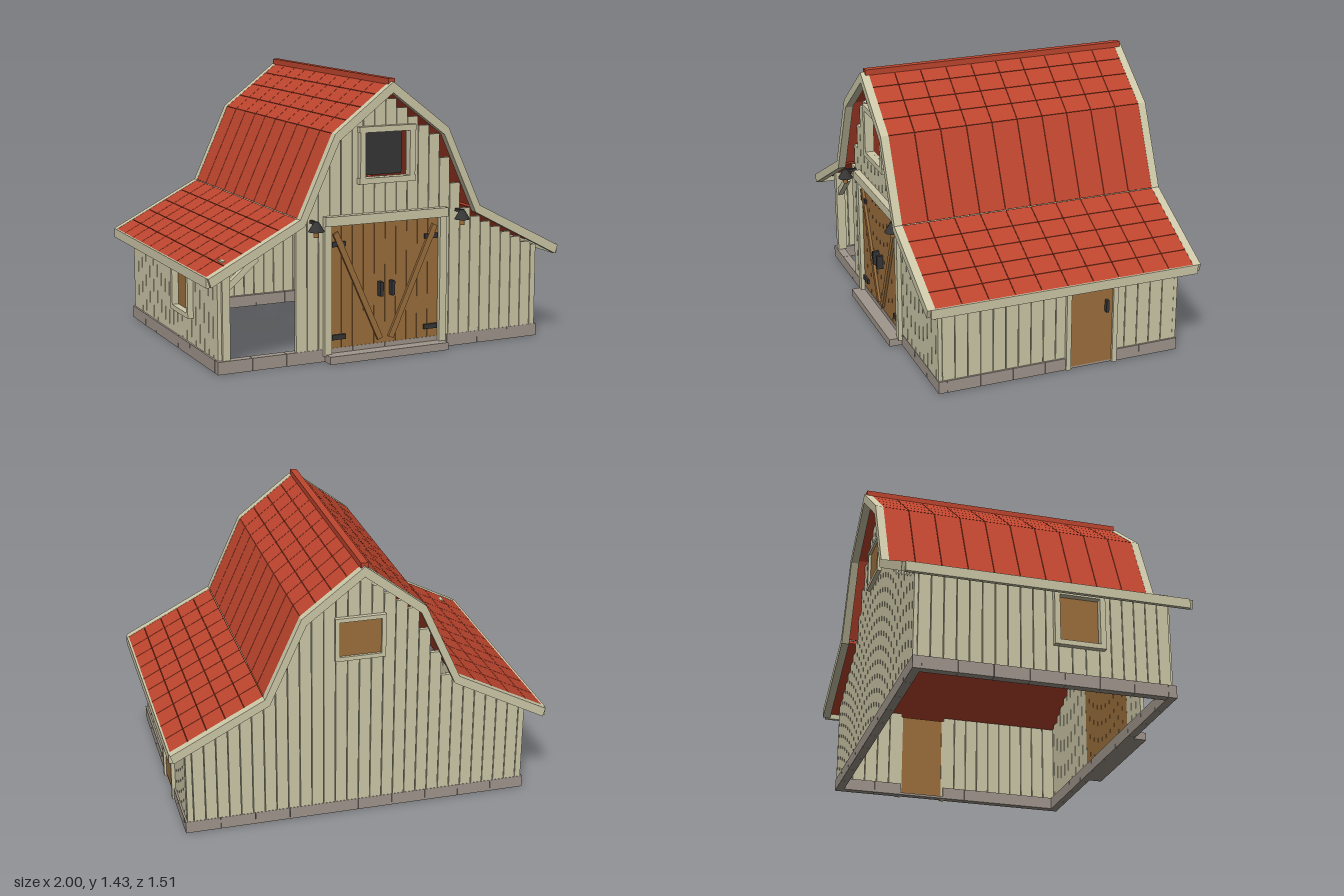
import * as THREE from 'three';

const mat = (name, color) => Object.assign(new THREE.MeshStandardMaterial({ color }), { name });

export function createModel() {
  const root = new THREE.Group();
  root.name = 'barn';
  const cream = mat('cream wood', 0xcdc8a8);
  const red = mat('red roofing', 0xbe452e);
  const brown = mat('brown wood', 0x9c6f3d);
  const stone = mat('grey stone', 0xa0968c);
  const metal = mat('dark metal', 0x363637);

  const group = (name) => {
    const g = new THREE.Group();
    g.name = name;
    root.add(g);
    return g;
  };
  const add = (parent, name, geo, m, x = 0, y = 0, z = 0) => {
    const mesh = new THREE.Mesh(geo, m);
    mesh.name = name;
    mesh.position.set(x, y, z);
    parent.add(mesh);
    return mesh;
  };
  // Box given by its minimum and maximum on each axis
  const block = (parent, name, m, x0, x1, y0, y1, z0, z1) =>
    add(parent, name, new THREE.BoxGeometry(x1 - x0, y1 - y0, z1 - z0), m,
      (x0 + x1) / 2, (y0 + y1) / 2, (z0 + z1) / 2);
  // Slanted bar between two points in the xy plane
  const bar = (parent, name, m, ax, ay, bx, by, width, z, depth) => {
    const len = Math.hypot(bx - ax, by - ay);
    const b = add(parent, name, new THREE.BoxGeometry(len, width, depth), m, (ax + bx) / 2, (ay + by) / 2, z);
    b.rotation.z = Math.atan2(by - ay, bx - ax);
    return b;
  };

  // Half of the gambrel roof line, from ridge to eave
  const outer = [[0, 1.415], [0.32, 1.17], [0.51, 0.755], [0.995, 0.505]];
  const inner = [[0, 1.36], [0.295, 1.135], [0.485, 0.72], [0.98, 0.46]];
  const roofY = (x) => {
    for (let i = 0; i < 3; i++) {
      const [a, b] = [outer[i], outer[i + 1]];
      if (x <= b[0]) return a[1] + (b[1] - a[1]) * (x - a[0]) / (b[0] - a[0]);
    }
    return outer[3][1];
  };

  // Gable walls: vertical planks with stepped tops
  const pitch = 0.0625, gap = 0.002, sill = 0.065;
  const gable = (name, z, first, spans) => {
    const g = group(name);
    for (let k = first; k < 15; k++) {
      const x0 = Math.max(k * pitch, -0.91), x1 = Math.min((k + 1) * pitch, 0.91);
      const top = roofY(Math.max(Math.abs(x0), Math.abs(x1))) - 0.045;
      for (const [y0, y1] of spans(Math.abs(x0 + x1) / 2, top))
        block(g, 'plank', cream, x0 + gap, x1 - gap, y0, y1, z - 0.01, z + 0.01);
    }
  };
  gable('frontWall', 0.64, -8, (x, top) =>
    x < 0.125 ? [[0.7, 0.93], [1.16, top]] : x < 0.3125 ? [[0.7, top]] : [[sill, top]]);
  gable('backWall', -0.66, -15, (x, top) => [[sill, top]]);

  // Side walls with an opening each
  const sideWall = (name, side, h0, h1, yLow) => {
    const g = group(name);
    const fill = (z0, z1, y0, y1) => {
      const n = Math.round((z1 - z0) / 0.066), w = (z1 - z0) / n;
      for (let i = 0; i < n; i++)
        block(g, 'plank', cream, side * 0.9 - 0.01, side * 0.9 + 0.01, y0, y1,
          z0 + i * w + gap, z0 + (i + 1) * w - gap);
    };
    fill(-0.65, h0, sill, 0.5);
    fill(h1, 0.63, sill, 0.5);
    if (yLow > sill) fill(h0, h1, sill, yLow);
  };
  sideWall('rightSideWall', 1, -0.3, -0.05, 0);
  sideWall('leftSideWall', -1, 0.05, 0.26, 0.23);

  // Stone footing ring of separate blocks
  const footing = group('footing');
  for (const z of [0.63, -0.65])
    for (let i = 0; i < 10; i++)
      block(footing, 'stone', stone, -0.92 + i * 0.184 + 0.001, -0.92 + (i + 1) * 0.184 - 0.001,
        0, sill, z - 0.022, z + 0.022);
  for (const s of [1, -1])
    for (let i = 0; i < 7; i++) {
      const z0 = -0.628 + i * 0.1766, z1 = z0 + 0.1746;
      if (s > 0 && z1 > -0.3 && z0 < -0.05) {
        if (z0 < -0.3) block(footing, 'stone', stone, 0.876, 0.92, 0, sill, z0, -0.3);
        if (z1 > -0.05) block(footing, 'stone', stone, 0.876, 0.92, 0, sill, -0.05, z1);
      } else block(footing, 'stone', stone, s * 0.898 - 0.022, s * 0.898 + 0.022, 0, sill, z0, z1);
    }
  block(root, 'doorSill', stone, 0.876, 0.915, 0, 0.012, -0.3, -0.05);
  block(root, 'frontStep', stone, -0.34, 0.34, 0, 0.04, 0.64, 0.72);

  // Roof: an underlay slab and a grid of tiles on each slope
  const roof = group('roof');
  const rows = [4, 1, 5], zA = -0.712, zB = 0.692, cols = 10, tw = (zB - zA) / cols;
  for (const s of [1, -1])
    for (let i = 0; i < 3; i++) {
      const [a, b] = [outer[i], outer[i + 1]];
      const dx = b[0] - a[0], dy = b[1] - a[1], len = Math.hypot(dx, dy);
      const put = (name, t, l, depth, thick, w, z) => {
        const x = a[0] + dx * t + dy / len * depth, y = a[1] + dy * t - dx / len * depth;
        const m = add(roof, name, new THREE.BoxGeometry(l, thick, w), red, s * x, y, z);
        m.rotation.z = s * Math.atan2(dy, dx);
      };
      put('underlay', 0.5, len - 0.004, 0.017, 0.014, zB - zA, (zA + zB) / 2);
      for (let r = 0; r < rows[i]; r++)
        for (let c = 0; c < cols; c++)
          put('tile', (r + 0.5) / rows[i], len / rows[i] - 0.003, 0.006, 0.01, tw - 0.003, zA + (c + 0.5) * tw);
    }
  block(roof, 'ridgeCap', red, -0.018, 0.018, 1.395, 1.43, -0.74, 0.71);

  // Barge boards following the roof line, and eave boards
  const mirror = (pts) => pts.slice(1).reverse().map(([x, y]) => [-x, y]).concat(pts);
  const outline = [...mirror(outer), ...mirror(inner).reverse()].map(([x, y]) => new THREE.Vector2(x, y));
  for (const [name, z] of [['frontBargeBoard', 0.69], ['backBargeBoard', -0.752]])
    add(root, name, new THREE.ExtrudeGeometry(new THREE.Shape(outline), { depth: 0.042, bevelEnabled: false }), cream, 0, 0, z);
  for (const s of [1, -1])
    block(root, 'eaveBoard', cream, s * 0.99 - 0.01, s * 0.99 + 0.01, 0.457, 0.507, -0.735, 0.713);

  // Double front doors
  const doors = group('frontDoors');
  for (let i = -5; i < 5; i++)
    block(doors, 'doorPlank', brown, i * 0.062 + 0.001, (i + 1) * 0.062 - 0.001, 0.04, 0.7, 0.63, 0.65);
  block(doors, 'lintel', cream, -0.35, 0.35, 0.7, 0.748, 0.63, 0.685);
  for (const s of [1, -1]) {
    block(doors, 'doorPost', cream, s * 0.33 - 0.02, s * 0.33 + 0.02, 0.03, 0.7, 0.63, 0.672);
    bar(doors, 'doorBrace', brown, s * 0.285, 0.66, s * 0.03, 0.09, 0.03, 0.657, 0.014);
    block(doors, 'handle', metal, s * 0.033 - 0.009, s * 0.033 + 0.009, 0.315, 0.39, 0.65, 0.685);
    for (const y of [0.122, 0.602])
      block(doors, 'hinge', metal, s * 0.265 - 0.038, s * 0.265 + 0.038, y - 0.013, y + 0.013, 0.65, 0.661);
  }

  // Loft opening in front, shuttered window at the back
  const frame = (name, hw, y0, y1, t, z, d, over) => {
    const g = group(name);
    for (const s of [1, -1])
      block(g, 'frameSide', cream, s * (hw + t / 2) - t / 2, s * (hw + t / 2) + t / 2, y0, y1, z - d, z + d);
    block(g, 'frameTop', cream, -hw - over, hw + over, y1, y1 + t, z - d, z + d);
    block(g, 'frameBottom', cream, -hw - over, hw + over, y0 - t, y0, z - d, z + d);
    return g;
  };
  const loft = frame('loftOpening', 0.125, 0.93, 1.16, 0.03, 0.664, 0.016, 0.035);
  block(loft, 'loftPanel', metal, -0.125, 0.125, 0.93, 1.16, 0.575, 0.585);
  const backWin = frame('backWindow', 0.11, 0.91, 1.1, 0.022, -0.68, 0.012, 0.022);
  block(backWin, 'shutter', brown, -0.11, 0.11, 0.91, 1.1, -0.678, -0.67);

  // Side door
  const sideDoor = group('sideDoor');
  block(sideDoor, 'doorLeaf', brown, 0.895, 0.917, 0.012, 0.48, -0.294, -0.06);
  for (const z of [-0.048, -0.307])
    block(sideDoor, 'doorPost', cream, 0.89, 0.93, 0, 0.48, z - 0.013, z + 0.013);
  block(sideDoor, 'handle', metal, 0.917, 0.94, 0.295, 0.36, -0.265, -0.25);

  // Left side window with shutter panel
  const sideWin = group('sideWindow');
  block(sideWin, 'shutter', brown, -0.905, -0.897, 0.23, 0.47, 0.05, 0.26);
  for (const z of [0.038, 0.272])
    block(sideWin, 'frameSide', cream, -0.94, -0.9, 0.205, 0.495, z - 0.014, z + 0.014);
  for (const y of [0.217, 0.483])
    block(sideWin, 'frameBar', cream, -0.94, -0.9, y - 0.013, y + 0.013, 0.05, 0.26);

  // Corner post and brace of the open bay
  block(root, 'bayPost', cream, -0.89, -0.85, sill, 0.567, 0.595, 0.645);
  bar(root, 'bayBrace', cream, -0.86, 0.425, -0.7, 0.565, 0.032, 0.62, 0.03);

  // Wall lamps
  for (const s of [1, -1]) {
    const lamp = group('lamp');
    lamp.position.set(s * 0.415, 0, 0.712);
    add(lamp, 'shade', new THREE.CylinderGeometry(0.012, 0.042, 0.05, 10), metal, 0, 0.712);
    add(lamp, 'bulb', new THREE.CylinderGeometry(0.014, 0.014, 0.03, 8), brown, 0, 0.672);
    block(lamp, 'arm', metal, -0.008, 0.008, 0.72, 0.735, -0.065, 0);
  }
  return root;
}
